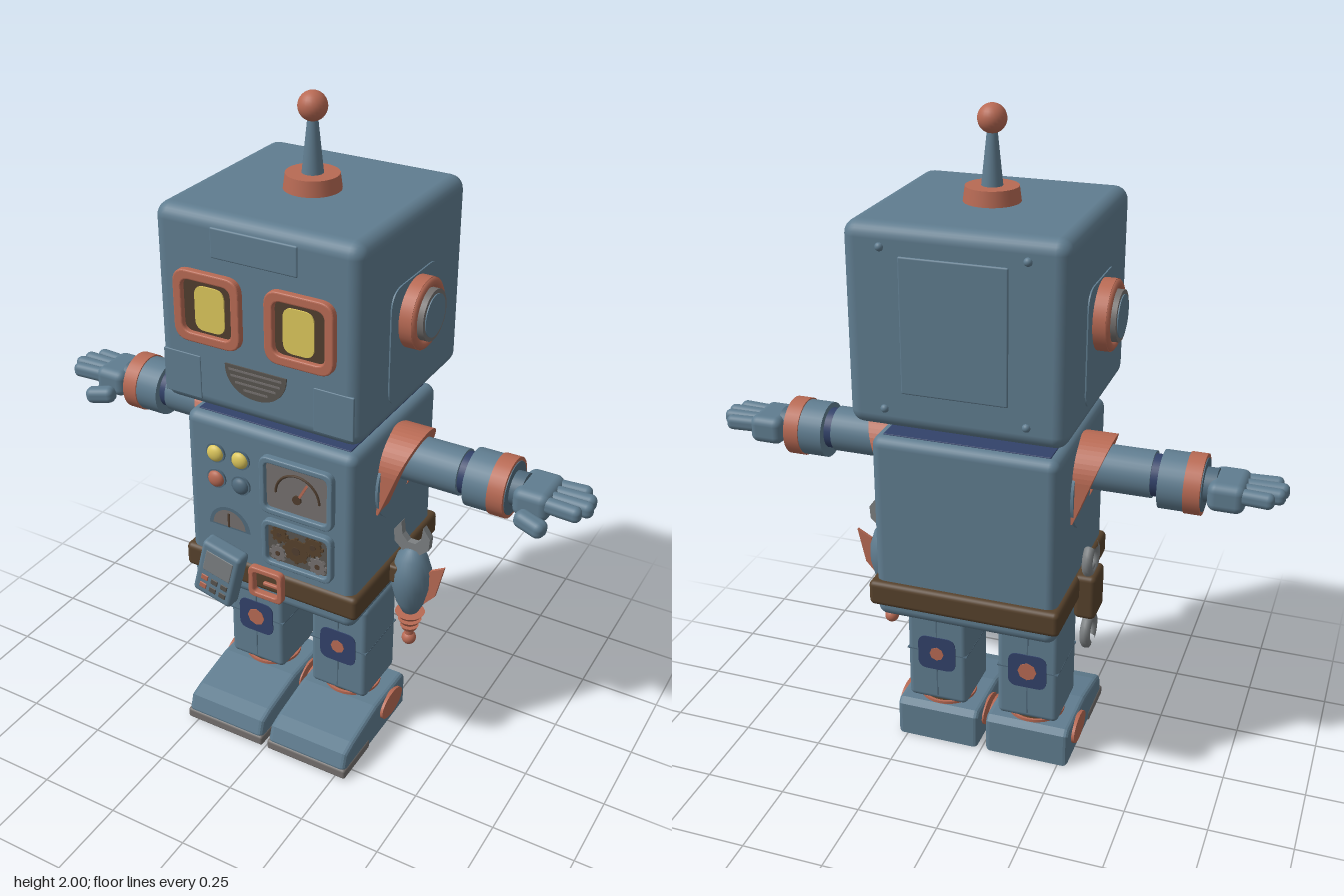
import * as THREE from 'three';
import { RoundedBoxGeometry } from 'three/addons/geometries/RoundedBoxGeometry.js';

const paint = (name, color) => {
  const m = new THREE.MeshStandardMaterial({ color });
  m.name = name;
  return m;
};

const rbox = (w, h, d, r = 0.01) => new RoundedBoxGeometry(w, h, d, 3, r);
const cylY = (r1, r2, h, n = 32) => new THREE.CylinderGeometry(r1, r2, h, n);
const cylX = (r, h, n = 32) => cylY(r, r, h, n).rotateZ(Math.PI / 2);
const cylZ = (r, h, n = 32) => cylY(r, r, h, n).rotateX(Math.PI / 2);
const ball = (r) => new THREE.SphereGeometry(r, 24, 16);

function roundRect(w, h, r, Type = THREE.Shape) {
  const s = new Type(), x = w / 2, y = h / 2;
  s.moveTo(-x + r, -y);
  s.lineTo(x - r, -y).quadraticCurveTo(x, -y, x, -y + r);
  s.lineTo(x, y - r).quadraticCurveTo(x, y, x - r, y);
  s.lineTo(-x + r, y).quadraticCurveTo(-x, y, -x, y - r);
  s.lineTo(-x, -y + r).quadraticCurveTo(-x, -y, -x + r, -y);
  return s;
}
function extrude(shape, depth, bevel = 0) {
  return new THREE.ExtrudeGeometry(shape, {
    depth, curveSegments: 12, bevelEnabled: bevel > 0,
    bevelSize: bevel, bevelThickness: bevel, bevelOffset: -bevel, bevelSegments: 3,
  });
}
// Rectangular frame facing +z, back at z = 0
function frame(w, h, rim, depth, r = 0.03) {
  const s = roundRect(w, h, r);
  s.holes.push(roundRect(w - 2 * rim, h - 2 * rim, r * 0.6, THREE.Path));
  return extrude(s, depth, 0.005).translate(0, 0, 0.005);
}
const polygon = (pts) => new THREE.Shape(pts.map(([x, y]) => new THREE.Vector2(x, y)));
const lathe = (pts) => new THREE.LatheGeometry(pts.map(([r, y]) => new THREE.Vector2(r, y)), 28);

export function createModel() {
  const blue = paint('steel blue', 0x607d90);
  const red = paint('copper red', 0xb86a54);
  const brown = paint('leather brown', 0x57422c);
  const dark = paint('dark recess', 0x503e2f);
  const yellow = paint('lamp yellow', 0xdcc65c);
  const grey = paint('worn grey', 0x74706e);
  const mesh = paint('mesh grey', 0x58544f);
  const metal = paint('tool metal', 0x7c8082);
  const navy = paint('navy patch', 0x32426a);
  const seam = paint('seam blue', 0x506a7c);

  const model = new THREE.Group();
  const group = (name) => {
    const g = new THREE.Group();
    g.name = name;
    model.add(g);
    return g;
  };
  const add = (parent, name, geo, mat, x = 0, y = 0, z = 0, rx = 0, ry = 0, rz = 0) => {
    const m = new THREE.Mesh(geo, mat);
    m.name = name;
    m.position.set(x, y, z);
    m.rotation.set(rx, ry, rz);
    parent.add(m);
  };

  // Head with face and panels
  const head = group('head');
  add(head, 'skull', rbox(0.62, 0.57, 0.61, 0.04), blue, 0, 1.455, -0.005);
  add(head, 'chinPlate', rbox(0.54, 0.006, 0.53, 0.002), navy, 0, 1.17, -0.005);
  add(head, 'foreheadPlate', rbox(0.26, 0.085, 0.012, 0.005), blue, 0, 1.665, 0.297);
  add(head, 'backPanel', rbox(0.3, 0.38, 0.012, 0.005), blue, 0, 1.47, -0.308);
  for (const s of [-1, 1]) {
    add(head, 'cheekPlate', rbox(0.12, 0.13, 0.008, 0.003), blue, s * 0.235, 1.262, 0.298);
    for (const y of [1.23, 1.68]) add(head, 'bolt', ball(0.012), blue, s * 0.2, y, -0.308);
    add(head, 'eyeFrame', frame(0.206, 0.206, 0.027, 0.018, 0.045), red, s * 0.14, 1.478, 0.291);
    add(head, 'eyeRecess', rbox(0.17, 0.17, 0.008, 0.003), dark, s * 0.14, 1.478, 0.3);
    add(head, 'eyeLamp', extrude(roundRect(0.092, 0.128, 0.03), 0.006), yellow, s * 0.135, 1.475, 0.302);
    add(head, 'earPanel', extrude(roundRect(0.28, 0.34, 0.06), 0.006), blue, s * 0.308, 1.39, 0, 0, s * Math.PI / 2);
    add(head, 'earRing', cylX(0.1, 0.04), red, s * 0.33, 1.455, 0);
    add(head, 'earRim', new THREE.TorusGeometry(0.086, 0.014, 10, 32).rotateY(Math.PI / 2), red, s * 0.345, 1.455, 0);
    add(head, 'earCap', cylX(0.072, 0.05), grey, s * 0.346, 1.455, 0);
    add(head, 'earCapFace', cylX(0.06, 0.006), blue, s * 0.371, 1.455, 0);
  }
  // Grinning speaker mouth with slots
  const grin = new THREE.Shape();
  grin.moveTo(-0.095, 0.045).lineTo(0.095, 0.045);
  grin.bezierCurveTo(0.097, 0.0, 0.065, -0.045, 0, -0.045);
  grin.bezierCurveTo(-0.065, -0.045, -0.097, 0.0, -0.095, 0.045);
  add(head, 'mouth', extrude(grin, 0.006), mesh, 0, 1.285, 0.298);
  for (let i = 0; i < 4; i++) {
    const w = 0.165 - i * i * 0.01;
    add(head, 'mouthSlot', new THREE.BoxGeometry(w, 0.006, 0.003), grey, 0, 1.317 - i * 0.018, 0.304);
  }

  // Antenna
  const antenna = group('antenna');
  add(antenna, 'antennaBase', cylY(0.074, 0.08, 0.045), red, 0, 1.76, 0);
  add(antenna, 'antennaStem', cylY(0.013, 0.03, 0.16), blue, 0, 1.86, 0);
  add(antenna, 'antennaBall', ball(0.04), red, 0, 1.96, 0);

  // Neck
  const neck = group('neck');
  add(neck, 'neckCollar', cylY(0.125, 0.125, 0.03), red, 0, 1.12, 0);
  add(neck, 'neckTube', cylY(0.1, 0.1, 0.08), navy, 0, 1.15, 0);
  [[1.148, seam], [1.168, navy]].forEach(([y, mat]) => {
    add(neck, 'neckRib', new THREE.TorusGeometry(0.102, 0.012, 8, 32), mat, 0, y, 0, Math.PI / 2);
  });

  // Torso
  const torso = group('torso');
  add(torso, 'body', rbox(0.55, 0.58, 0.505, 0.03), blue, 0, 0.82, -0.003);
  add(torso, 'topPlate', rbox(0.49, 0.006, 0.445, 0.002), navy, 0, 1.11, -0.003);

  // Chest instruments
  const z = 0.25;
  for (const [x, y, mat] of [[-0.172, 1, yellow], [-0.09, 1, yellow], [-0.172, 0.915, red], [-0.09, 0.915, seam]]) {
    add(torso, 'buttonBezel', cylZ(0.031, 0.01, 24), seam, x, y, z);
    add(torso, 'button', ball(0.026).scale(1, 1, 0.6), mat, x, y, z + 0.005);
  }
  add(torso, 'gaugeFrame', frame(0.235, 0.185, 0.018, 0.014), blue, 0.098, 0.955, z - 0.004);
  add(torso, 'gaugePlate', rbox(0.205, 0.155, 0.008, 0.003), grey, 0.098, 0.955, z + 0.002);
  const arc = new THREE.TorusGeometry(0.07, 0.004, 6, 24, Math.PI);
  add(torso, 'gaugeArc', arc, dark, 0.098, 0.935, z + 0.006);
  add(torso, 'gaugeNeedle', new THREE.BoxGeometry(0.007, 0.065, 0.005), red, 0.115, 0.958, z + 0.008, 0, 0, -0.5);
  add(torso, 'gaugeHub', cylZ(0.014, 0.008, 16), dark, 0.098, 0.93, z + 0.007);
  add(torso, 'smallDial', new THREE.CircleGeometry(0.07, 28, 0, Math.PI), seam, -0.132, 0.755, z + 0.003);
  add(torso, 'smallDialFace', new THREE.CircleGeometry(0.055, 28, 0, Math.PI), grey, -0.132, 0.762, z + 0.006);
  add(torso, 'smallDialNeedle', new THREE.BoxGeometry(0.006, 0.045, 0.003), dark, -0.132, 0.785, z + 0.008);
  add(torso, 'gearFrame', frame(0.23, 0.155, 0.016, 0.014), blue, 0.1, 0.762, z - 0.004);
  add(torso, 'gearRecess', rbox(0.205, 0.13, 0.008, 0.003), mesh, 0.1, 0.762, z + 0.001);
  const gears = [[0.095, 0.757, 0.038, brown], [0.15, 0.788, 0.027, brown], [0.04, 0.795, 0.022, brown], [0.165, 0.728, 0.024, grey], [0.035, 0.73, 0.022, grey]];
  for (const [x, y, r, mat] of gears) {
    add(torso, 'gear', cylZ(r, 0.01, 16), mat, x, y, z + 0.006);
    for (let i = 0; i < 8; i++) {
      const a = i * Math.PI / 4;
      add(torso, 'gearTooth', new THREE.BoxGeometry(0.012, 0.01, 0.009), mat,
        x + r * Math.cos(a), y + r * Math.sin(a), z + 0.006, 0, 0, a);
    }
    add(torso, 'gearHub', cylZ(r * 0.35, 0.006, 12), dark, x, y, z + 0.01);
  }

  // Belt, buckle and hanging gadget
  const belt = group('belt');
  add(belt, 'beltStrap', rbox(0.58, 0.078, 0.534, 0.016), brown, 0, 0.613, -0.008);
  add(belt, 'buckle', frame(0.115, 0.105, 0.018, 0.014, 0.02), red, 0, 0.613, 0.257);
  add(belt, 'bucklePin', rbox(0.06, 0.012, 0.012, 0.004), red, 0.02, 0.613, 0.269);
  const gadget = group('beltGadget');
  gadget.position.set(-0.152, 0.612, 0.28);
  gadget.rotation.z = -0.24;
  add(gadget, 'gadgetCase', rbox(0.135, 0.195, 0.055, 0.014), blue);
  add(gadget, 'gadgetScreen', rbox(0.095, 0.075, 0.008, 0.003), metal, 0, 0.035, 0.025);
  for (let i = 0; i < 6; i++) {
    add(gadget, 'gadgetKey', rbox(0.024, 0.02, 0.008, 0.003), i % 3 ? mesh : red,
      -0.034 + (i % 3) * 0.034, -0.03 - Math.floor(i / 3) * 0.032, 0.026);
  }

  // Ray gun with claw on the left hip
  const gun = group('rayGun');
  gun.position.set(0.338, 0, 0);
  add(gun, 'gunBody', lathe([[0, 0.465], [0.025, 0.47], [0.045, 0.51], [0.06, 0.57], [0.06, 0.62], [0.045, 0.67], [0.02, 0.695], [0, 0.7]]), blue);
  add(gun, 'gunBarrel', cylY(0.014, 0.014, 0.12, 16), red, 0, 0.42, 0);
  [0.045, 0.036, 0.028].forEach((r, i) => add(gun, 'gunRing', cylY(r, r * 0.8, 0.012), red, 0, 0.458 - i * 0.025, 0));
  add(gun, 'gunTip', ball(0.022), red, 0, 0.365, 0);
  add(gun, 'gunFin', extrude(polygon([[0.045, 0.51], [0.08, 0.55], [0.105, 0.66], [0.06, 0.635], [0.04, 0.6]]), 0.01), red, 0, 0, -0.005);
  const claw = polygon([[-0.02, 0.66], [0.02, 0.66], [0.027, 0.685], [0.055, 0.71], [0.058, 0.75], [0.035, 0.782],
    [0.03, 0.74], [0.012, 0.72], [-0.012, 0.72], [-0.03, 0.74], [-0.035, 0.782], [-0.058, 0.75], [-0.055, 0.71], [-0.027, 0.685]]);
  add(gun, 'clawHead', extrude(claw, 0.022), metal, 0, 0, -0.011);
  add(gun, 'gunHolder', rbox(0.07, 0.06, 0.1, 0.01), brown, -0.055, 0.615, 0);

  // Double-ended spanner and holder on the right hip
  const spanner = group('spanner');
  add(spanner, 'spannerHolder', rbox(0.066, 0.145, 0.11, 0.016), brown, -0.305, 0.583, 0);
  add(spanner, 'spannerShaft', rbox(0.022, 0.2, 0.036, 0.006), metal, -0.308, 0.572, 0);
  const jaw = new THREE.TorusGeometry(0.043, 0.016, 10, 24, Math.PI * 1.7);
  for (const [y, turn] of [[0.448, -0.35], [0.693, 0.65]]) {
    add(spanner, 'spannerJaw', jaw.clone().rotateZ(Math.PI * turn).rotateY(Math.PI / 2), metal, -0.308, y, 0);
  }

  // Shoulder guard: an open arch whose outer face slopes in toward the bottom
  const arch = new THREE.Shape();
  arch.moveTo(0.055, -0.13).lineTo(0.12, -0.13).lineTo(0.115, 0);
  arch.absarc(0, -0.01, 0.115, 0.09, Math.PI - 0.09, false);
  arch.lineTo(-0.12, -0.13).lineTo(-0.055, -0.13).lineTo(-0.072, 0);
  arch.absarc(0, 0, 0.072, Math.PI, 0, true);
  const guard = extrude(arch, 0.1);
  const gp = guard.attributes.position;
  for (let i = 0; i < gp.count; i++) gp.setZ(i, gp.getZ(i) * (0.12 + 0.88 * (gp.getY(i) + 0.13) / 0.235));
  guard.computeVertexNormals();

  for (const s of [-1, 1]) {
    // Arm along the x axis
    const arm = group(s > 0 ? 'leftArm' : 'rightArm');
    add(arm, 'shoulderDisc', cylX(0.13, 0.016), blue, s * 0.275, 0.935, 0);
    add(arm, 'shoulderGuard', guard, red, s * 0.268, 0.99, 0, 0, s * Math.PI / 2);
    add(arm, 'upperArm', cylX(0.068, 0.22), blue, s * 0.375, 1, -0.006);
    add(arm, 'elbowSeam', cylX(0.061, 0.05), navy, s * 0.495, 1, -0.008);
    add(arm, 'forearm', cylX(0.084, 0.075), blue, s * 0.547, 0.993, -0.01);
    add(arm, 'cuff', cylX(0.088, 0.047), red, s * 0.606, 0.993, -0.01);
    add(arm, 'cuffEnd', cylX(0.077, 0.006), seam, s * 0.629, 0.993, -0.01);
    add(arm, 'wrist', cylX(0.05, 0.05), seam, s * 0.64, 0.995, -0.01);

    // Hand
    add(arm, 'palm', rbox(0.105, 0.085, 0.15, 0.025), blue, s * 0.698, 0.99, -0.014);
    [0.075, 0.1, 0.105, 0.085].forEach((len, i) => {
      add(arm, 'finger', rbox(len + 0.04, 0.046, 0.038, 0.018), blue,
        s * (0.735 + len / 2), 1.0, -0.066 + i * 0.035, 0, s * (0.08 - i * 0.05), 0);
    });
    add(arm, 'thumb', rbox(0.095, 0.05, 0.05, 0.02), blue, s * 0.715, 0.957, 0.08, 0, s * -0.25, s * -0.15);

    // Leg with seams and knee patches on both faces
    const leg = group(s > 0 ? 'leftLeg' : 'rightLeg');
    const x = s * 0.147;
    add(leg, 'hip', cylY(0.07, 0.07, 0.06), red, x, 0.51, 0);
    add(leg, 'legBlock', rbox(0.194, 0.34, 0.2, 0.018), blue, x, 0.318, 0);
    add(leg, 'legTop', rbox(0.156, 0.005, 0.162, 0.002), navy, x, 0.488, 0);
    add(leg, 'legSeam', new THREE.BoxGeometry(0.195, 0.004, 0.201), seam, x, 0.325, 0);
    for (const f of [0, 1]) {
      const turn = f * Math.PI, dir = 1 - 2 * f;
      add(leg, 'legSeamUpright', new THREE.BoxGeometry(0.004, 0.3, 0.003), seam, x, 0.318, dir * 0.1);
      add(leg, 'kneePatch', extrude(roundRect(0.122, 0.116, 0.03), 0.005), navy, x, 0.322, dir * 0.098, 0, turn);
      add(leg, 'kneeStud', cylZ(s > 0 ? 0.023 : 0.03, 0.006, 8), red, x, 0.322, dir * 0.102);
    }
    add(leg, 'ankle', cylY(0.078, 0.085, 0.04), brown, x, 0.138, 0);
    add(leg, 'ankleRing', cylY(0.09, 0.09, 0.014), red, x, 0.13, 0);

    // Foot: side profile extruded across its width
    const profile = polygon([[-0.107, 0], [0.295, 0], [0.3, 0.04], [0.285, 0.085], [0.24, 0.1], [0.09, 0.128], [-0.09, 0.128], [-0.107, 0.11]]);
    add(leg, 'foot', extrude(profile, 0.24, 0.015).translate(0, 0, -0.12), blue, x, 0, 0, 0, -Math.PI / 2);
    add(leg, 'toeSole', rbox(0.276, 0.034, 0.165, 0.008), grey, x, 0.019, 0.221);
    add(leg, 'ankleBadge', cylX(1, 0.03).scale(1, 0.042, 0.068), red, s * 0.276, 0.08, 0);
    add(leg, 'innerBadge', cylX(1, 0.008).scale(1, 0.042, 0.068), red, s * 0.011, 0.08, 0);
  }
  add(group('thighPatch'), 'patch', rbox(0.08, 0.05, 0.008, 0.003), navy, -0.095, 0.46, 0.098);

  return model;
}
